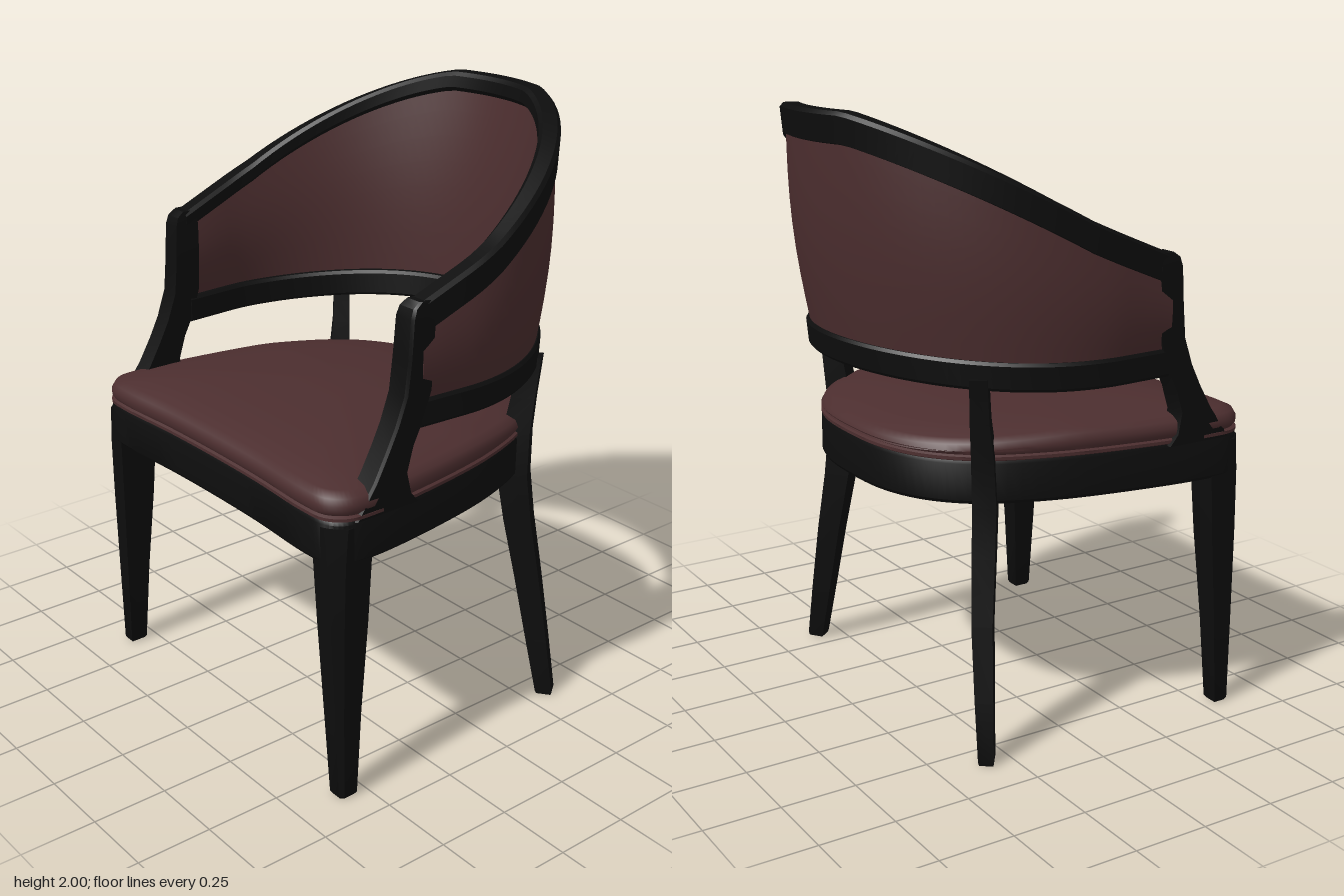
import * as THREE from 'three';
import { toCreasedNormals } from 'three/addons/utils/BufferGeometryUtils.js';

const V = (x, y, z) => new THREE.Vector3(x, y, z);

// Skin a list of equal-length closed sections and cap both ends
function loft(sections, crease = 0.6) {
  const n = sections[0].length, last = sections.length - 1;
  const pts = sections.flat();
  const centre = (s) => s.reduce((c, p) => c.add(p), V(0, 0, 0)).divideScalar(n);
  pts.push(centre(sections[0]), centre(sections[last]));
  const c0 = pts.length - 2, c1 = pts.length - 1;
  let tris = [];
  for (let j = 0; j < n; j++) {
    const k = (j + 1) % n;
    for (let i = 0; i < last; i++) {
      const a = i * n + j, b = i * n + k, c = a + n, d = b + n;
      tris.push([a, b, d], [a, d, c]);
    }
    tris.push([c0, k, j], [c1, last * n + j, last * n + k]);
  }
  // Turn the faces outward
  let volume = 0;
  for (const [a, b, c] of tris) volume += pts[a].dot(pts[b].clone().cross(pts[c]));
  if (volume < 0) tris = tris.map(([a, b, c]) => [a, c, b]);
  const g = new THREE.BufferGeometry().setFromPoints(pts);
  g.setIndex(tris.flat());
  return toCreasedNormals(g, crease);
}

// Plan of the barrel back: half ellipse with straight arms, leaning out upward
const STEPS = 64, BEND = 0.86, FRONT = 0.3;
function shell(t, y, inset) {
  const side = Math.sign(t), u = Math.abs(t);
  const a = 0.658 - inset, b = 0.65 + 0.09 * (y - 1.2) / 0.8 - inset;
  if (u > BEND) {
    const s = (u - BEND) / (1 - BEND);
    return V(side * (a - 0.012 * s), y, 0.1 + s * (FRONT - 0.1));
  }
  const angle = (t / BEND) * Math.PI / 2;
  return V(a * Math.sin(angle), y, 0.1 - b * Math.cos(angle));
}
const topY = (t) => {
  const z = shell(t, 2, 0).z;
  return Math.min(2, 1.685 - (z < 0 ? 0.52 : 0.41) * z);
};
const lowY = (t) => 1.175 + 0.03 * Math.pow(Math.min(0, shell(t, 1.2, 0).z) / 0.55, 2);

// Sweep a section rule around the back
function sweep(section) {
  const rings = [];
  for (let i = 0; i <= STEPS; i++) rings.push(section(-1 + 2 * i / STEPS));
  return loft(rings);
}

// Half plan of the seat, mirrored to a closed outline
const halfSeat = [[0, -0.49], [0.2, -0.473], [0.35, -0.41], [0.47, -0.29], [0.56, -0.08],
  [0.62, 0.2], [0.65, 0.48], [0.64, 0.57], [0.59, 0.62], [0.5, 0.63], [0.25, 0.617], [0, 0.613]];
const mirrored = halfSeat.slice(1, -1).reverse().map(([x, z]) => [-x, z]);
const outline = new THREE.CatmullRomCurve3(
  [...halfSeat, ...mirrored].map(([x, z]) => V(x, 0, z)), true).getPoints(110).slice(0, -1);
const seatRing = (scale, y) => outline.map((p) => {
  const drop = y > 0.99 ? 0.06 * Math.max(0, -p.z * scale) : 0;
  return V(p.x * scale, y - drop, 0.06 + (p.z - 0.06) * scale);
});

export function createModel() {
  const model = new THREE.Group();
  const wood = new THREE.MeshStandardMaterial({ color: 0x0d0d0d });
  wood.name = 'black wood';
  const fabric = new THREE.MeshStandardMaterial({ color: 0x4c2e2f });
  fabric.name = 'maroon upholstery';
  const add = (name, geometry, material) => {
    const mesh = new THREE.Mesh(geometry, material);
    mesh.name = name;
    model.add(mesh);
  };

  // Seat frame and domed cushion
  add('seatFrame', loft([[0.985, 0.81], [1, 0.822], [1, 0.94], [0.99, 0.952]]
    .map(([s, y]) => seatRing(s, y))), wood);
  add('seatCushion', loft([[0.98, 0.945], [1.002, 0.953], [1.002, 0.963], [0.988, 0.968],
    [1, 0.98], [1, 1.0], [0.985, 1.02], [0.94, 1.033], [0.8, 1.052], [0.6, 1.068],
    [0.35, 1.077], [0.1, 1.08]].map(([s, y]) => seatRing(s, y)), 0.8), fabric);

  // Sloping top rail, deeper on the outside
  add('topRail', sweep((t) => {
    const y = topY(t);
    return [[0.012, 0], [0, 0.012], [0, 0.095], [0.012, 0.1], [0.06, 0.06], [0.07, 0.05],
      [0.07, 0.012], [0.058, 0]].map(([inset, d]) => shell(t, y - d, inset));
  }), wood);

  // Lower rail
  add('lowerRail', sweep((t) => {
    const y = lowY(t);
    return [[0.008, 0], [0, 0.01], [0, 0.08], [0.008, 0.09], [0.07, 0.09], [0.08, 0.08],
      [0.08, 0.01], [0.07, 0]].map(([inset, h]) => shell(t, y + h, inset));
  }), wood);

  // Padded back panel, swelling slightly inside and out
  add('backPanel', sweep((t) => {
    const y0 = lowY(t) + 0.07, y1 = topY(t) - 0.045, outer = [], inner = [];
    for (let i = 0; i <= 8; i++) {
      const v = i / 8, y = y0 + (y1 - y0) * v, puff = 0.02 * Math.sin(Math.PI * v);
      outer.push(shell(t, y, 0.014 - puff));
      inner.unshift(shell(t, y, 0.052 + puff));
    }
    return [...outer, ...inner];
  }), fabric);

  for (const side of [1, -1]) {
    const label = side > 0 ? 'left' : 'right';

    // Curved arm post: [y, back z, front z, inner x, outer x]
    add(label + 'ArmPost', loft([[0.945, 0.31, 0.55, 0.572, 0.65], [0.98, 0.34, 0.525, 0.572, 0.65],
      [1.05, 0.355, 0.475, 0.572, 0.648], [1.13, 0.33, 0.43, 0.571, 0.646],
      [1.2, 0.295, 0.395, 0.57, 0.646], [1.29, 0.265, 0.362, 0.57, 0.648],
      [1.4, 0.258, 0.35, 0.572, 0.65], [1.52, 0.255, 0.342, 0.576, 0.65],
      [1.55, 0.258, 0.332, 0.58, 0.648], [1.567, 0.27, 0.308, 0.585, 0.645]]
      .map(([y, zb, zf, xi, xo]) => [[xi, zb], [xo, zb], [xo, zf - 0.008], [xo - 0.008, zf], [xi, zf]]
        .map(([x, z]) => V(side * x, y, z)))), wood);

    // Tapered front leg: [y, inner x, outer x, back z, front z, chamfer]
    add(label + 'FrontLeg', loft([[0.93, 0.54, 0.646, 0.485, 0.625, 0.05],
      [0.81, 0.54, 0.646, 0.487, 0.625, 0.04], [0.6, 0.55, 0.645, 0.5, 0.62, 0.03],
      [0.3, 0.568, 0.643, 0.525, 0.612, 0.02], [0.01, 0.585, 0.642, 0.542, 0.604, 0.012],
      [0, 0.592, 0.636, 0.548, 0.598, 0.01]]
      .map(([y, xi, xo, zb, zf, c]) => [[xi, zb], [xo, zb], [xo, zf - c], [xo - c, zf], [xi, zf]]
        .map(([x, z]) => V(side * x, y, z)))), wood);

    // Splayed rear leg rising to the lower rail: [y, x, z, radial width, tangential width]
    add(label + 'RearLeg', loft([[0, 0.588, -0.333, 0.05, 0.045], [0.012, 0.587, -0.333, 0.058, 0.05],
      [0.2, 0.555, -0.32, 0.07, 0.058], [0.44, 0.515, -0.302, 0.082, 0.066],
      [0.65, 0.485, -0.278, 0.092, 0.072], [0.81, 0.468, -0.264, 0.1, 0.075],
      [0.96, 0.47, -0.272, 0.09, 0.07], [1.08, 0.478, -0.288, 0.078, 0.06],
      [1.22, 0.492, -0.302, 0.07, 0.055]]
      .map(([y, x, z, w, d]) => [[1, 1], [1, -1], [-1, -1], [-1, 1]].map(([i, j]) => {
        const r = i * w / 2, s = j * d / 2, cos = 0.8, sin = 0.6;
        return V(side * (x + r * cos + s * sin), y, z - r * sin + s * cos);
      }))), wood);
  }
  return model;
}
